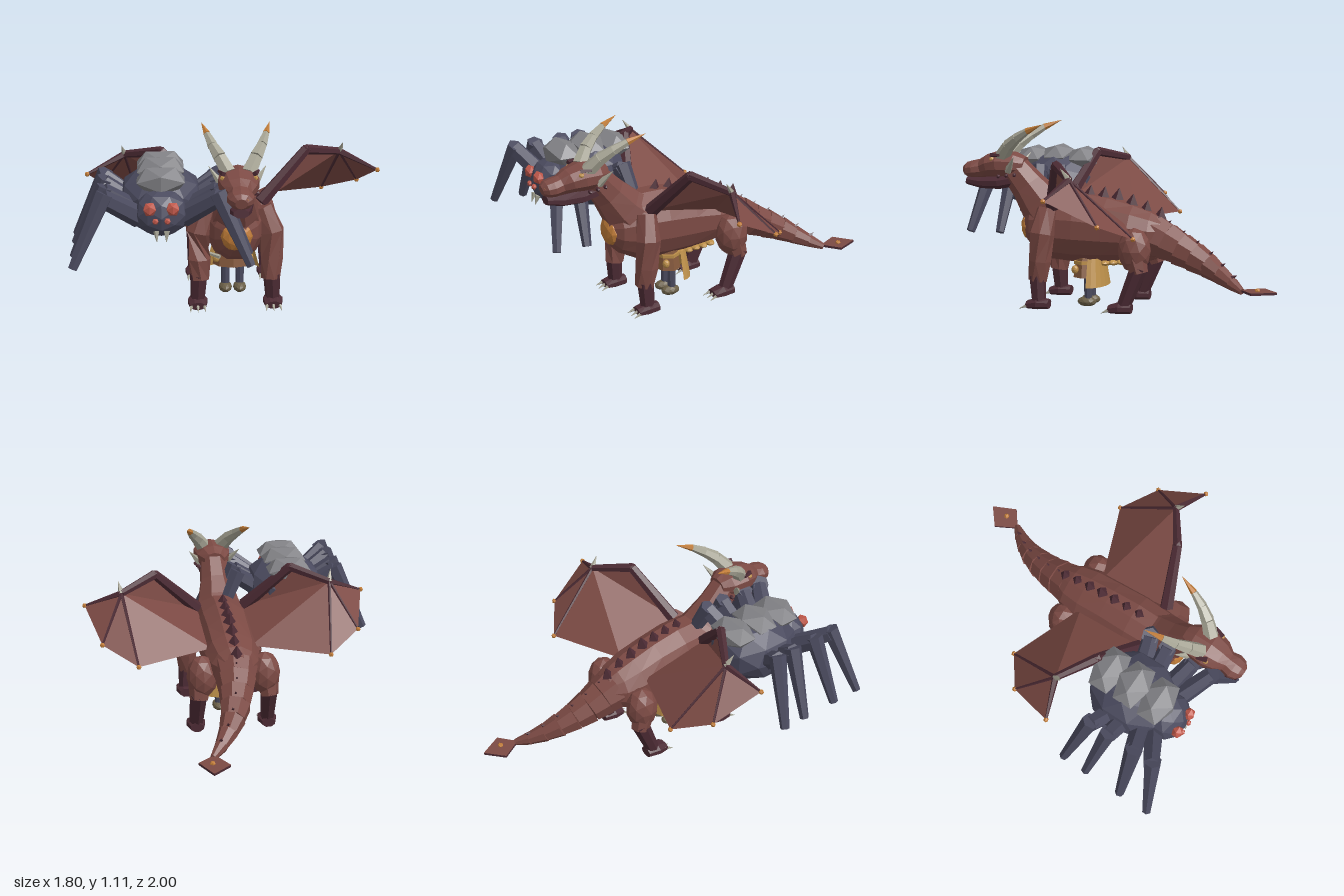
import * as THREE from 'three';

const paint = (name, color) => Object.assign(new THREE.MeshStandardMaterial({ color }), { name });
const V = (x, y, z) => new THREE.Vector3(x, y, z);

// Faceted mesh added to a parent
function add(parent, name, geo, mat, pos = [0, 0, 0], scale = [1, 1, 1]) {
  const g = geo.index ? geo.toNonIndexed() : geo;
  g.scale(...scale);
  g.computeVertexNormals();
  const m = new THREE.Mesh(g, mat);
  m.name = name;
  m.position.set(...pos);
  parent.add(m);
  return m;
}

const blob = (parent, name, mat, pos, size, detail = 1) =>
  add(parent, name, new THREE.IcosahedronGeometry(1, detail), mat, pos, size);

// Tapered bar between two points
function bar(parent, name, mat, a, b, ra, rb, sides = 6) {
  const p = V(...a), q = V(...b), d = q.clone().sub(p);
  const m = add(parent, name, new THREE.CylinderGeometry(rb, ra, d.length(), sides), mat);
  m.position.copy(p).add(q).multiplyScalar(0.5);
  m.quaternion.setFromUnitVectors(V(0, 1, 0), d.normalize());
  return m;
}

// Skin over elliptical sections [x, y, z, rx, ry]
function loft(parent, name, mat, sections, sides = 10) {
  const pos = [], idx = [], n = sections.length;
  const centres = sections.map(s => V(s[0], s[1], s[2]));
  sections.forEach((s, i) => {
    const t = centres[Math.min(i + 1, n - 1)].clone().sub(centres[Math.max(i - 1, 0)]).normalize();
    const side = V(0, 1, 0).cross(t).normalize(), up = t.clone().cross(side);
    for (let j = 0; j < sides; j++) {
      const a = (j + 0.5) / sides * Math.PI * 2;
      pos.push(...centres[i].clone().addScaledVector(side, Math.cos(a) * s[3])
        .addScaledVector(up, Math.sin(a) * s[4]).toArray());
    }
  });
  pos.push(...centres[0].toArray(), ...centres[n - 1].toArray());
  for (let j = 0; j < sides; j++) {
    const k = (j + 1) % sides, e = (n - 1) * sides;
    for (let i = 0; i < n - 1; i++) {
      const a = i * sides + j, b = i * sides + k;
      idx.push(a, b, a + sides, b, b + sides, a + sides);
    }
    idx.push(n * sides, k, j, n * sides + 1, e + j, e + k);
  }
  const g = new THREE.BufferGeometry();
  g.setAttribute('position', new THREE.Float32BufferAttribute(pos, 3));
  g.setIndex(idx);
  return add(parent, name, g, mat);
}

export function createModel() {
  const red = paint('redBrownHide', 0x7c4a44), claret = paint('darkClaret', 0x4c2b34);
  const slate = paint('slateBlue', 0x4a4a5e), grey = paint('greyPlate', 0x808084);
  const eyeRed = paint('redEye', 0xc0584a), bone = paint('bone', 0xa8a696);
  const gold = paint('gold', 0xbd904a), orange = paint('orange', 0xc07c38);
  const brown = paint('brownCloth', 0x85593c), boot = paint('bootBrown', 0x6a5e46);
  red.side = gold.side = THREE.DoubleSide;

  const root = new THREE.Group();
  const group = (name, x, z = 0) => {
    const g = new THREE.Group();
    g.name = name;
    g.position.set(x, 0, z);
    root.add(g);
    return g;
  };

  // ---- Dragon ----
  const dragon = group('dragon', 0.032);
  loft(dragon, 'body', red, [
    [0, 0.46, -0.27, 0.1, 0.1], [0, 0.455, -0.2, 0.145, 0.14], [0, 0.465, -0.08, 0.17, 0.17],
    [0, 0.475, 0.08, 0.172, 0.2], [0, 0.485, 0.26, 0.18, 0.218], [0, 0.49, 0.42, 0.172, 0.21],
    [0, 0.49, 0.54, 0.13, 0.15], [0, 0.49, 0.6, 0.06, 0.08]], 12);
  loft(dragon, 'neck', red, [
    [0, 0.52, 0.4, 0.165, 0.17], [0, 0.62, 0.5, 0.13, 0.14],
    [0, 0.72, 0.58, 0.1, 0.11], [0, 0.84, 0.68, 0.085, 0.09]], 8);
  blob(dragon, 'chestPlate', orange, [0, 0.48, 0.575], [0.092, 0.09, 0.045]);
  for (let i = 0; i < 5; i++)
    blob(dragon, 'bellyScute', gold, [0, 0.27 + i * 0.005, 0.13 - i * 0.05], [0.09, 0.022, 0.035]);

  // Head with a narrow muzzle
  loft(dragon, 'head', red, [
    [0, 0.845, 0.6, 0.065, 0.055], [0, 0.85, 0.66, 0.108, 0.078], [0, 0.852, 0.76, 0.12, 0.082],
    [0, 0.84, 0.83, 0.1, 0.07], [0, 0.822, 0.88, 0.067, 0.058], [0, 0.815, 0.93, 0.078, 0.054],
    [0, 0.81, 0.97, 0.066, 0.048], [0, 0.805, 0.995, 0.035, 0.03]], 10);
  loft(dragon, 'lowerJaw', claret, [
    [0, 0.755, 0.67, 0.075, 0.04], [0, 0.738, 0.76, 0.088, 0.042],
    [0, 0.733, 0.88, 0.068, 0.036], [0, 0.745, 0.975, 0.045, 0.026]], 8);
  for (const s of [-1, 1]) {
    blob(dragon, 'eye', gold, [s * 0.09, 0.888, 0.785], [0.016, 0.016, 0.018], 0);
    bar(dragon, 'brow', claret, [s * 0.085, 0.912, 0.79], [s * 0.11, 0.915, 0.73], 0.016, 0.008, 4);
    blob(dragon, 'nostril', orange, [s * 0.032, 0.825, 0.982], [0.01, 0.01, 0.01], 0);
    for (let i = 0; i < 3; i++)
      blob(dragon, 'jawSpot', claret, [s * (0.1 - i * 0.004), 0.785 + i * 0.005, 0.74 - i * 0.05],
        [0.02, 0.014, 0.012], 0);
    bar(dragon, 'cheekSpike', bone, [s * 0.09, 0.82, 0.68], [s * 0.16, 0.91, 0.62], 0.026, 0.001, 5);
    // Curved horn with a coloured tip
    const horn = [[0.055, 0.9, 0.73], [0.1, 0.975, 0.67], [0.137, 1.025, 0.605], [0.165, 1.07, 0.53], [0.193, 1.112, 0.43]];
    const r = [0.047, 0.04, 0.031, 0.021, 0.001];
    for (let i = 0; i < 4; i++)
      bar(dragon, i < 3 ? 'horn' : 'hornTip', i < 3 ? bone : orange,
        [s * horn[i][0], ...horn[i].slice(1)], [s * horn[i + 1][0], ...horn[i + 1].slice(1)],
        r[i], r[i + 1] * 0.95, 6);
  }

  // Back spikes
  for (let i = 0; i < 7; i++) {
    const z = 0.28 - i * 0.088;
    const top = z > 0 ? 0.675 + z * 0.07 : 0.675 + z * 0.42;
    bar(dragon, 'backSpike', claret, [0, top - 0.015, z], [0, top + 0.05, z - 0.012], 0.04, 0.002, 4);
  }

  // Tail of overlapping segments
  const tail = [[0, 0.45, -0.2, 0.132], [0.01, 0.415, -0.29, 0.118], [0.022, 0.375, -0.38, 0.103],
    [0.042, 0.335, -0.47, 0.09], [0.072, 0.293, -0.56, 0.074], [0.112, 0.25, -0.64, 0.057],
    [0.164, 0.21, -0.72, 0.04], [0.22, 0.178, -0.79, 0.02]];
  for (let i = 0; i < 7; i++) {
    const a = tail[i], b = tail[i + 1];
    bar(dragon, 'tailSegment', red, a.slice(0, 3), b.slice(0, 3), a[3] * 1.02, b[3] * 0.97, 8);
    if (i) bar(dragon, 'tailSpike', claret, [a[0], a[1] + a[3] * 0.85, a[2]],
      [a[0], a[1] + a[3] + 0.012, a[2] - 0.03], 0.014, 0.001, 4);
  }
  const blade = new THREE.Shape([[0.21, 0.78], [0.313, 0.86], [0.245, 1], [0.138, 0.91]].map(p => new THREE.Vector2(...p)));
  const bladeGeo = new THREE.ExtrudeGeometry(blade, { depth: 0.014, bevelEnabled: false });
  bladeGeo.rotateX(-Math.PI / 2);
  add(dragon, 'tailBlade', bladeGeo, [red, claret], [0, 0.175, 0]);
  blob(dragon, 'tailStud', orange, [0.238, 0.192, -0.885], [0.018, 0.016, 0.018], 0);

  for (const s of [-1, 1]) {
    // Legs
    loft(dragon, 'frontUpperLeg', red, [
      [s * 0.205, 0.18, 0.455, 0.056, 0.058], [s * 0.21, 0.3, 0.44, 0.068, 0.068],
      [s * 0.207, 0.46, 0.43, 0.075, 0.08], [s * 0.15, 0.6, 0.41, 0.06, 0.07]], 7);
    bar(dragon, 'frontLowerLeg', claret, [s * 0.212, 0.21, 0.455], [s * 0.22, 0.04, 0.445], 0.052, 0.042, 7);
    blob(dragon, 'thigh', red, [s * 0.19, 0.385, -0.14], [0.095, 0.135, 0.1]);
    bar(dragon, 'rearUpperLeg', red, [s * 0.2, 0.4, -0.13], [s * 0.215, 0.25, -0.175], 0.08, 0.055, 7);
    bar(dragon, 'rearLowerLeg', claret, [s * 0.215, 0.29, -0.175], [s * 0.22, 0.05, -0.08], 0.054, 0.042, 7);
    for (const z of [0.45, -0.06]) {
      loft(dragon, 'foot', claret, [
        [s * 0.22, 0.04, z - 0.07, 0.042, 0.03], [s * 0.22, 0.042, z, 0.062, 0.036],
        [s * 0.22, 0.032, z + 0.065, 0.05, 0.024]], 8);
      for (const c of [-1, 0, 1])
        bar(dragon, 'claw', bone, [s * 0.22 + c * 0.036, 0.038, z + 0.045],
          [s * 0.22 + c * 0.045, 0.012, z + 0.105], 0.014, 0.001, 5);
    }
    // Wing
    const P = [[0.15, 0.62, 0.38], [0.42, 0.9, 0.265], [0.635, 0.845, 0.12], [0.853, 0.75, 0.2],
      [0.773, 0.605, -0.085], [0.575, 0.515, -0.235], [0.12, 0.53, -0.06]].map(p => [s * p[0], p[1], p[2]]);
    const skin = new THREE.BufferGeometry();
    skin.setAttribute('position', new THREE.Float32BufferAttribute(P.flat(), 3));
    skin.setIndex([0, 1, 2, 2, 3, 4, 2, 4, 5, 2, 5, 6, 2, 6, 0]);
    add(dragon, 'wingMembrane', skin, red);
    bar(dragon, 'wingArm', claret, P[0], P[1], 0.042, 0.03);
    bar(dragon, 'wingForearm', claret, P[1], P[2], 0.03, 0.022);
    blob(dragon, 'wingElbow', claret, P[1], [0.03, 0.03, 0.03], 0);
    bar(dragon, 'wingClaw', bone, P[2], [s * 0.65, 0.91, 0.165], 0.02, 0.001, 5);
    for (const i of [3, 4, 5]) {
      bar(dragon, 'wingFinger', claret, P[2], P[i], i === 3 ? 0.021 : 0.011, 0.007, 5);
      blob(dragon, 'wingTip', orange, P[i], [0.016, 0.016, 0.016], 0);
    }
  }

  // ---- Spider ----
  const spider = group('spider', -0.395);
  blob(spider, 'spiderBody', slate, [0, 0.7, 0.52], [0.25, 0.2, 0.27]);
  blob(spider, 'spiderHead', slate, [0, 0.69, 0.76], [0.15, 0.135, 0.12]);
  for (let i = 0; i < 3; i++)
    blob(spider, 'backPlate', grey, [0, 0.865 - (i !== 1) * 0.012, 0.355 + i * 0.165], [0.155, 0.085, 0.115], 0);
  for (const s of [-1, 1]) {
    blob(spider, 'largeEye', eyeRed, [s * 0.063, 0.742, 0.862], [0.04, 0.042, 0.035], 0);
    blob(spider, 'smallEye', eyeRed, [s * 0.033, 0.678, 0.88], [0.019, 0.019, 0.017], 0);
    bar(spider, 'fang', bone, [s * 0.028, 0.615, 0.855], [s * 0.026, 0.56, 0.875], 0.018, 0.002, 5);
    [[0.49, 0.43, 0.355], [0.56, 0.55, 0.51], [0.66, 0.72, 0.75], [0.74, 0.85, 0.94]].forEach(([a, b, c]) => {
      bar(spider, 'upperLeg', slate, [s * 0.12, 0.66, a], [s * 0.32, 0.805, b], 0.062, 0.05);
      bar(spider, 'lowerLeg', slate, [s * 0.305, 0.83, b], [s * 0.485, 0.435, c], 0.052, 0.027);
    });
  }

  // ---- Small figure beneath ----
  const figure = group('figure', 0.03, 0.19);
  for (const s of [-1, 1]) {
    bar(figure, 'trouserLeg', slate, [s * 0.043, 0.2, 0], [s * 0.043, 0.04, 0], 0.027, 0.024, 8);
    blob(figure, 'boot', boot, [s * 0.043, 0.031, 0.008], [0.04, 0.031, 0.06]);
    blob(figure, 'pouch', gold, [s * 0.1, 0.235, 0.065], [0.022, 0.027, 0.022]);
  }
  add(figure, 'tunic', new THREE.CylinderGeometry(0.095, 0.12, 0.12, 8), brown, [0, 0.245, 0.02], [1, 1, 0.7]);
  add(figure, 'belt', new THREE.CylinderGeometry(0.112, 0.112, 0.02, 8), gold, [0, 0.275, 0.02], [1, 1, 0.72]);
  bar(figure, 'bladeHilt', bone, [-0.08, 0.25, 0.09], [-0.14, 0.26, 0.05], 0.014, 0.01, 5);
  add(figure, 'cape', new THREE.CylinderGeometry(0.12, 0.165, 0.17, 10, 1, true, Math.PI / 2, Math.PI), gold,
    [0, 0.22, -0.02], [1, 1, 0.6]);
  return root;
}
